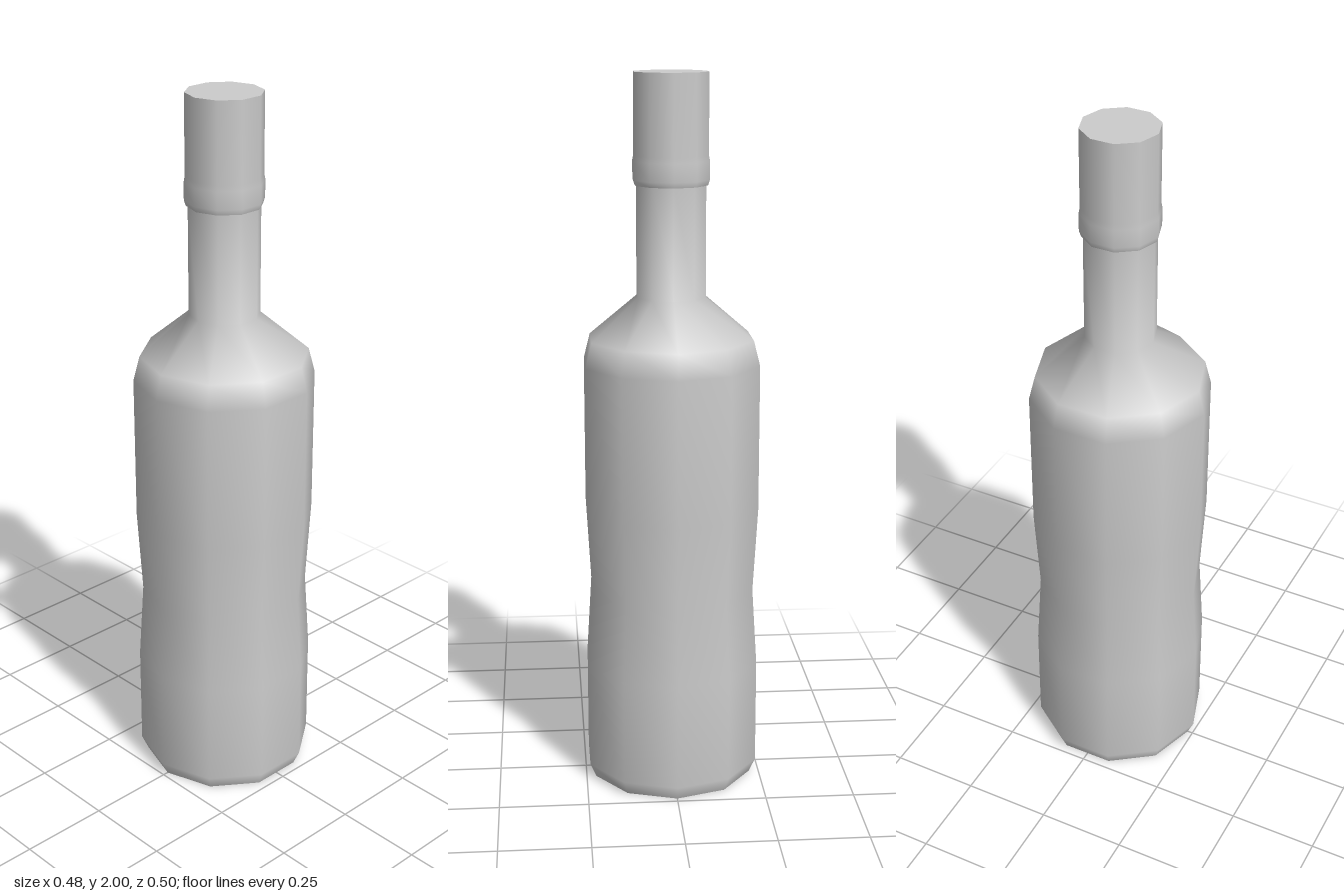
import * as THREE from 'three';

const SIDES = 10;

export function createModel() {
  const model = new THREE.Group();
  model.name = 'bottle';
  const material = new THREE.MeshStandardMaterial({ color: 0xcccccc });

  // Revolve a [radius, height] profile, listed from bottom to top
  function turned(name, profile) {
    const points = profile.map(([r, y]) => new THREE.Vector2(r, y));
    const mesh = new THREE.Mesh(new THREE.LatheGeometry(points, SIDES), material);
    mesh.name = name;
    model.add(mesh);
  }

  // Flat underside
  turned('base', [[0, 0], [0.234, 0]]);

  // Body with a slight waist, rounded shoulder and straight neck
  turned('body', [
    [0.234, 0], [0.252, 0.04], [0.252, 0.34], [0.238, 0.56], [0.252, 0.8],
    [0.252, 1.21], [0.234, 1.28], [0.098, 1.395], [0.098, 1.72],
  ]);

  // Cap sleeve with a slightly flared lower band, then its flat top
  turned('capUnderside', [[0.096, 1.7], [0.103, 1.7]]
    .reverse().map(([r, y]) => [r, y]).reverse());
  turned('cap', [[0.103, 1.7], [0.108, 1.715], [0.108, 1.765], [0.105, 1.78], [0.105, 2]]);
  turned('capTop', [[0.105, 2], [0, 2]]);

  return model;
}
